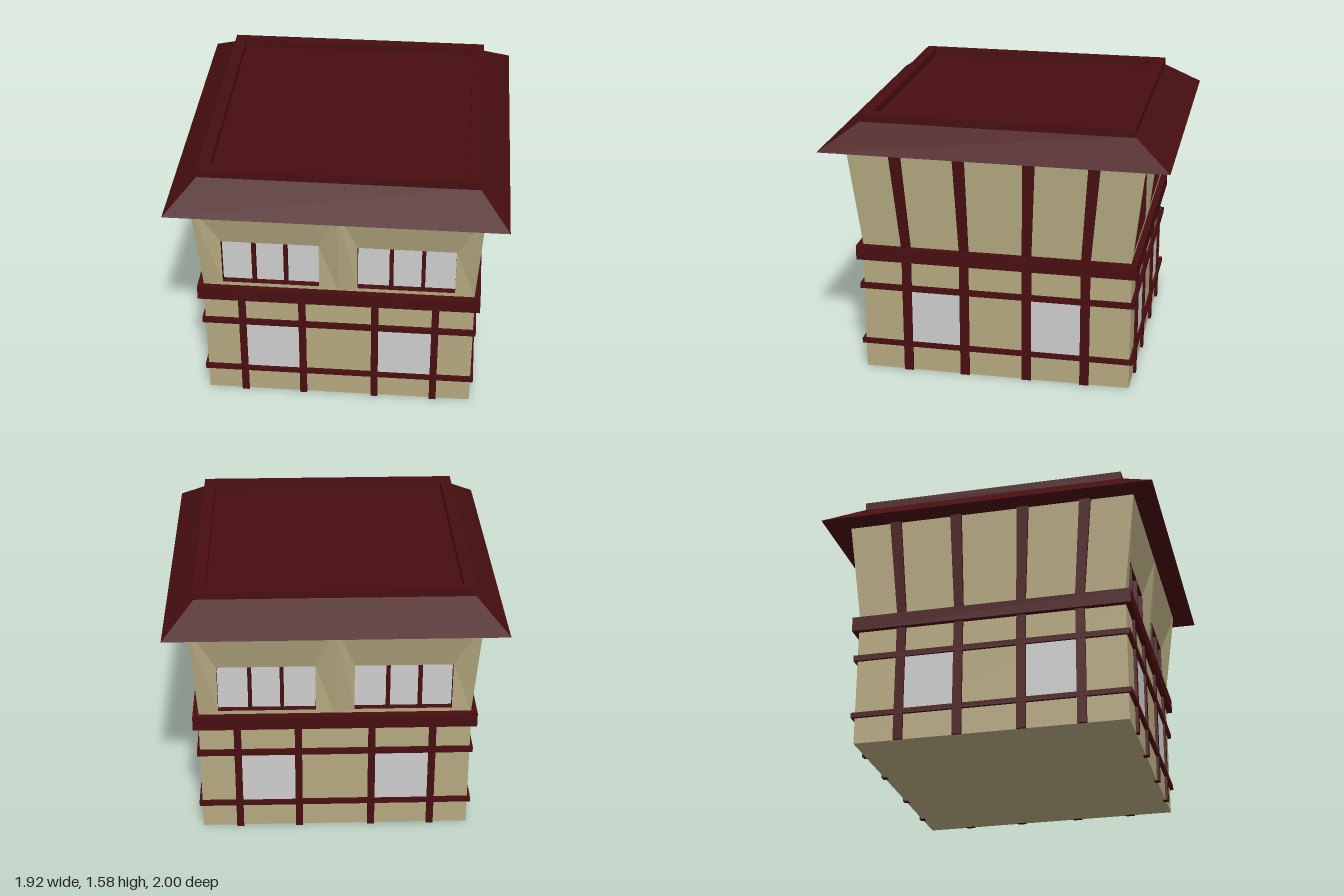
import * as THREE from 'three';

export function createModel() {
  const mat = (name, color) => {
    const m = new THREE.MeshStandardMaterial({ color });
    m.name = name;
    return m;
  };
  const plaster = mat('plaster', 0xb4a880);
  const timber = mat('dark red timber', 0x470e10);
  const glass = mat('pale glass', 0xcccccc);

  const model = new THREE.Group();
  model.name = 'timberHouse';
  const house = new THREE.Group();
  house.name = 'walls';
  house.position.z = 0.007;
  model.add(house);

  const add = (parent, name, geometry, material) => {
    const mesh = new THREE.Mesh(geometry, material);
    mesh.name = name;
    parent.add(mesh);
    return mesh;
  };

  // Block between heights y0 and y1 whose bottom and top rectangles may differ: [x0, x1, z0, z1]
  const loft = (parent, name, material, y0, y1, bottom, top = bottom) => {
    const g = new THREE.BoxGeometry(1, 1, 1);
    const p = g.attributes.position;
    for (let i = 0; i < p.count; i++) {
      const r = p.getY(i) < 0 ? bottom : top;
      p.setXYZ(i, r[p.getX(i) < 0 ? 0 : 1], p.getY(i) < 0 ? y0 : y1, r[p.getZ(i) < 0 ? 2 : 3]);
    }
    g.computeVertexNormals();
    return add(parent, name, g, material);
  };
  const rect = (x, z) => [-x, x, -z, z];

  // Ground storey and the heavy beam above it
  const W = 0.793, D = 0.793;
  loft(house, 'groundStorey', plaster, 0, 0.72, rect(W, D));
  loft(house, 'floorBeam', timber, 0.7, 0.787, rect(0.826, 0.826));

  // Rails running round the ground storey
  for (const [y, h] of [[0.17, 0.03], [0.529, 0.034]]) {
    loft(house, 'rail', timber, y - h / 2, y + h / 2, rect(0.81, 0.813));
  }

  // Posts and windows of the ground storey, mirrored to opposite faces
  for (const s of [1, -1]) {
    for (const m of [1, -1]) {
      for (const x of [0.57, 0.215]) {
        const z = [s * D - 0.017, s * D + 0.017];
        loft(house, 'groundPost', timber, 0, 0.71, [m * x - 0.021, m * x + 0.021, ...z]);
      }
      for (const z of [0.53, 0.186]) {
        const x = [s * W - 0.015, s * W + 0.015];
        loft(house, 'sidePost', timber, 0, 0.71, [...x, m * z - 0.027, m * z + 0.027]);
      }
      loft(house, 'groundWindow', glass, 0.185, 0.512,
        [m * 0.393 - 0.157, m * 0.393 + 0.157, s * D - 0.004, s * D + 0.004]);
      loft(house, 'sideWindow', glass, 0.183, 0.513,
        [s * W - 0.004, s * W + 0.004, m * 0.358 - 0.148, m * 0.358 + 0.148]);
    }
  }

  // Upper storey: flaring side walls with leaning posts
  const y0 = 0.78, y1 = 1.395;
  const bx = 0.79, tx = 0.828, bz = 0.79, tz = 0.864;
  const flat = (points) => {
    const g = new THREE.BufferGeometry();
    g.setAttribute('position', new THREE.Float32BufferAttribute(points.flat(), 3));
    g.computeVertexNormals();
    return g;
  };
  const quad = (a, b, c, d) => [a, b, c, a, c, d];
  for (const s of [1, -1]) {
    const wall = add(house, 'upperSideWall', flat(quad(
      [bx, y0, bz], [bx, y0, -bz], [tx, y1, -tz], [tx, y1, tz])), plaster);
    if (s < 0) wall.rotation.y = Math.PI;
    for (const m of [1, -1]) {
      for (const [zb, zt] of [[0.53, 0.578], [0.185, 0.204]]) {
        const xr = (x) => [s * x - 0.018, s * x + 0.018];
        loft(house, 'leaningPost', timber, y0, y1,
          [...xr(bx), m * zb - 0.027, m * zb + 0.027],
          [...xr(tx), m * zt - 0.034, m * zt + 0.034]);
      }
    }
  }

  // Upper front: upright window openings between a central ridge and flaring corners
  const wx0 = 0.112, wx1 = 0.677, wy0 = 0.81, wy1 = 1.1, wz = 0.79, back = 0.75;
  const upperFront = () => {
    const face = new THREE.Group();
    face.name = 'upperFace';
    for (const m of [1, -1]) {
      const outer = [[0, y0, bz], [bx, y0, bz], [tx, y1, tz], [0, y1, tz]];
      const inner = [[wx0, wy0, wz], [wx1, wy0, wz], [wx1, wy1, wz], [wx0, wy1, wz]];
      const points = [];
      for (let i = 0; i < 4; i++) {
        const j = (i + 1) % 4;
        const q = [outer[i], outer[j], inner[j], inner[i]].map(([x, y, z]) => [m * x, y, z]);
        points.push(...quad(...(m > 0 ? q : q.reverse())));
      }
      add(face, 'upperWall', flat(points), plaster);

      const span = (a, b) => [Math.min(m * a, m * b), Math.max(m * a, m * b)];
      const bar = (name, a, b, ya, yb, front) =>
        loft(face, name, timber, ya, yb, [...span(a, b), back, front]);
      loft(face, 'upperWindow', glass, wy0, wy1, [...span(wx0, wx1), back - 0.006, back]);
      // Reveals lining the opening
      bar('jamb', wx0 - 0.006, wx0, wy0, wy1, wz - 0.001);
      bar('jamb', wx1, wx1 + 0.006, wy0, wy1, wz - 0.001);
      bar('sill', wx0, wx1, wy0 - 0.006, wy0, wz - 0.001);
      bar('head', wx0, wx1, wy1, wy1 + 0.006, wz - 0.001);
      for (const x of [0.306, 0.491]) bar('mullion', x - 0.011, x + 0.011, wy0, wy1, wz);
    }
    return face;
  };
  house.add(upperFront());
  const rear = upperFront();
  rear.rotation.y = Math.PI;
  house.add(rear);

  // Hipped eaves and the flat roof framed by a low parapet
  loft(model, 'eaves', timber, 1.393, 1.54, rect(0.96, 1), rect(0.785, 0.785));
  const ring = new THREE.Shape();
  const square = (path, r) => path.moveTo(-r, -r).lineTo(r, -r).lineTo(r, r).lineTo(-r, r).closePath();
  square(ring, 0.79);
  const hole = new THREE.Path();
  square(hole, 0.722);
  ring.holes.push(hole);
  const parapet = new THREE.ExtrudeGeometry(ring, { depth: 0.063, bevelEnabled: false });
  parapet.rotateX(-Math.PI / 2);
  add(model, 'parapet', parapet, timber).position.set(0, 1.52, 0.005);

  return model;
}
